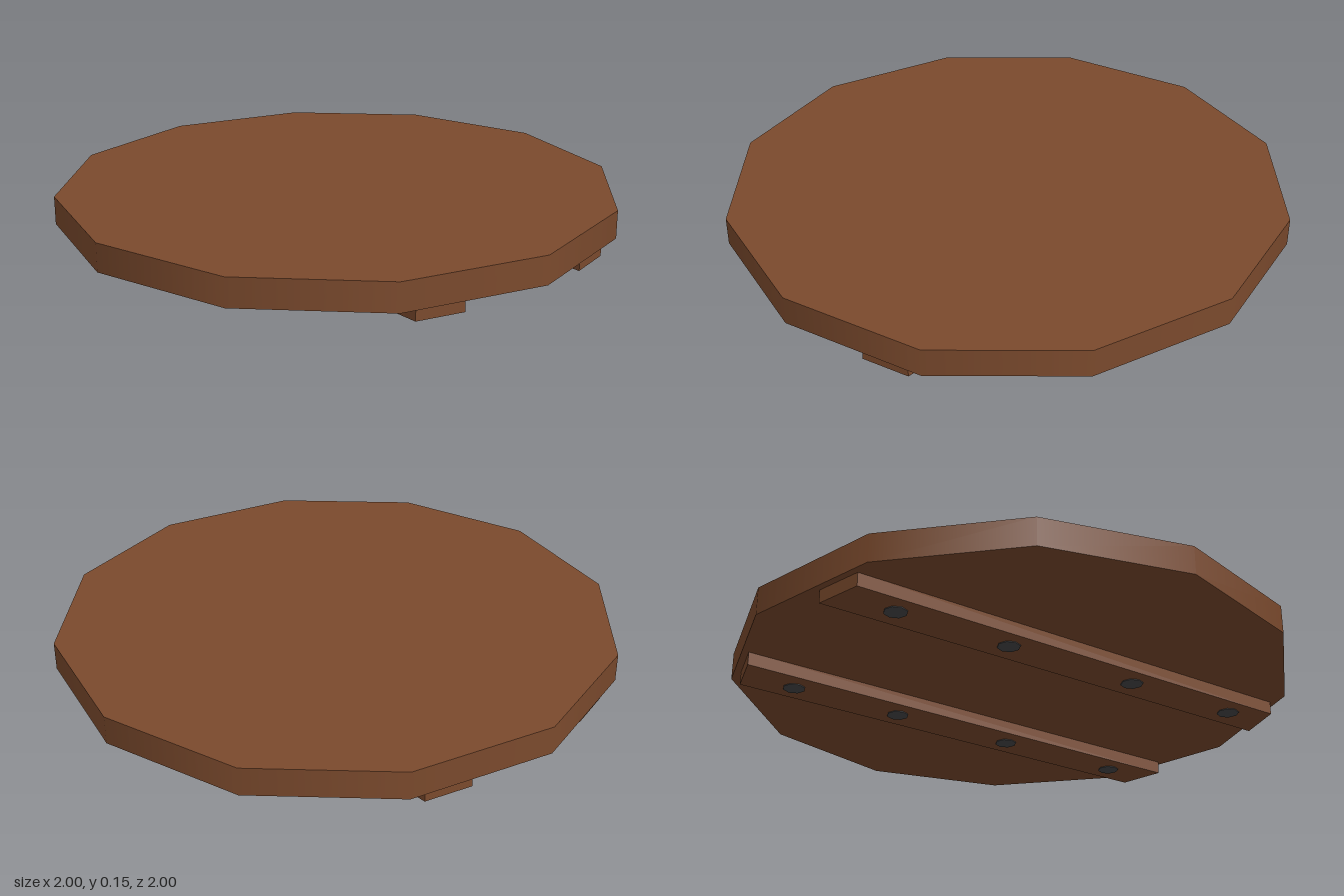
import * as THREE from 'three';

export function createModel() {
  const model = new THREE.Group();
  const wood = new THREE.MeshStandardMaterial({ color: 0x7b4a2d });
  wood.name = 'brown wood';
  const iron = new THREE.MeshStandardMaterial({ color: 0x47484a });
  iron.name = 'dark iron';

  const add = (parent, name, geometry, material) => {
    const mesh = new THREE.Mesh(geometry, material);
    mesh.name = name;
    parent.add(mesh);
    return mesh;
  };

  // Twelve-sided round lid with a smooth-shaded rim
  add(model, 'lid', new THREE.CylinderGeometry(1, 1, 0.1, 12), wood).position.y = 0.1;

  // Battens under the lid, their ends cut parallel to the rim, with four nail heads each
  const inner = 0.265, outer = 0.43, bottom = 0.003;
  const nailRows = { 1: [0.71, 0.21, -0.27, -0.69], [-1]: [0.72, 0.27, -0.25, -0.68] };
  for (const side of [1, -1]) {
    const batten = new THREE.Group();
    batten.name = side > 0 ? 'leftBatten' : 'rightBatten';
    model.add(batten);

    const outline = new THREE.Shape([
      new THREE.Vector2(side * inner, -0.905),
      new THREE.Vector2(side * outer, -0.86),
      new THREE.Vector2(side * outer, 0.86),
      new THREE.Vector2(side * inner, 0.905),
    ]);
    const plank = new THREE.ExtrudeGeometry(outline, { depth: 0.05 - bottom, bevelEnabled: false });
    plank.rotateX(-Math.PI / 2);
    add(batten, 'plank', plank, wood).position.y = bottom;

    for (const z of nailRows[side]) {
      const nail = add(batten, 'nailHead', new THREE.CylinderGeometry(0.04, 0.04, 0.006, 8), iron);
      nail.position.set(side * 0.35, 0.003, z);
    }
  }
  return model;
}
